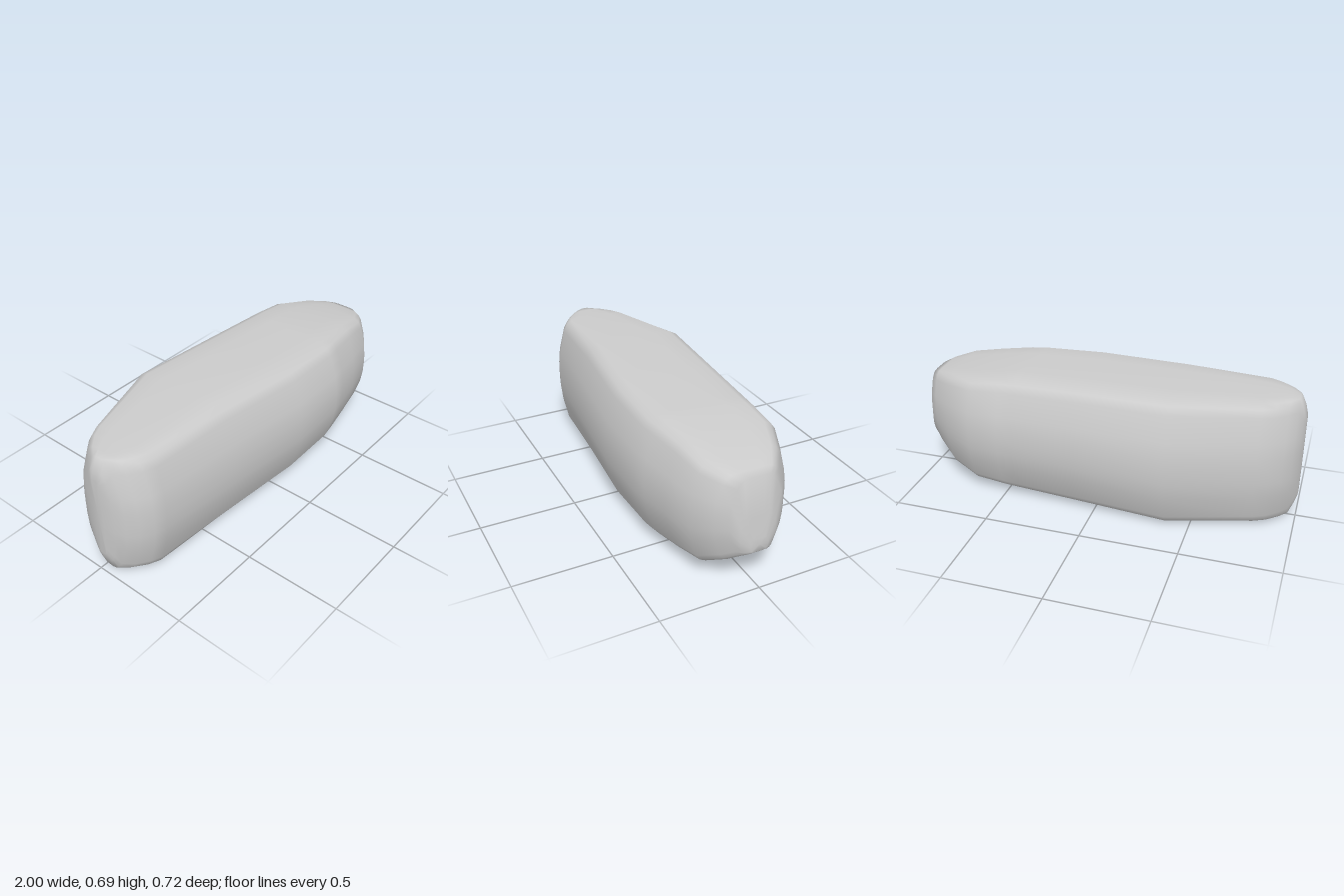
import * as THREE from 'three';

// Cross-sections along the length: x, yMin, yMax, zMin, zMax, corner fullness
const STATIONS = [
  [-1.0, 0.12, 0.56, 0.0, 0.06, 1],
  [-0.985, 0.07, 0.61, -0.05, 0.115, 0.6],
  [-0.96, 0.005, 0.665, -0.1, 0.16, 0.35],
  [-0.92, 0.004, 0.667, -0.145, 0.205, 0.7],
  [-0.86, 0.003, 0.669, -0.19, 0.242, 0.9],
  [-0.8, 0.002, 0.672, -0.212, 0.26, 1],
  [-0.38, 0, 0.687, -0.362, 0.304, 1],
  [0.1, 0.016, 0.675, -0.34, 0.355, 1],
  [0.42, 0.028, 0.663, -0.324, 0.35, 1],
  [0.5, 0.032, 0.659, -0.319, 0.335, 1],
  [0.66, 0.05, 0.641, -0.31, 0.303, 1],
  [0.82, 0.085, 0.614, -0.225, 0.268, 1],
  [0.92, 0.145, 0.587, -0.15, 0.2, 0.9],
  [0.96, 0.175, 0.572, -0.115, 0.15, 0.75],
  [0.985, 0.195, 0.39, -0.075, 0.105, 0.9],
  [1.0, 0.21, 0.28, -0.03, 0.06, 1],
];

// Quarter profile of a section: [height, width], both as fractions of half size
const QUARTER = [[0, 1], [0.2, 0.995], [0.45, 0.955], [0.82, 0.835], [0.93, 0.755], [0.985, 0.64], [1, 0.35], [1, 0]];

// Mirror the quarter into a closed ring running front, top, back, bottom
function makeRing() {
  const n = QUARTER.length - 1;
  const ring = [];
  for (let q = 0; q < 4; q++) {
    for (let i = 0; i < n; i++) {
      const [v, w] = QUARTER[q % 2 ? n - i : i];
      ring.push([q < 2 ? v : -v, q === 0 || q === 3 ? w : -w]);
    }
  }
  return ring;
}

function loftBody() {
  const ring = makeRing();
  const count = ring.length;
  const positions = [];
  const indices = [];

  for (const [x, y0, y1, z0, z1, full] of STATIONS) {
    for (const [v, w] of ring) {
      const width = w * (1 - (1 - full) * v ** 4);
      positions.push(x, (y0 + y1) / 2 + v * (y1 - y0) / 2, (z0 + z1) / 2 + width * (z1 - z0) / 2);
    }
  }
  // Skin between neighbouring sections
  for (let s = 0; s < STATIONS.length - 1; s++) {
    for (let j = 0; j < count; j++) {
      const k = (j + 1) % count;
      const a = s * count + j, b = s * count + k;
      indices.push(a, a + count, b, b, a + count, b + count);
    }
  }
  // Small end caps
  for (const s of [0, STATIONS.length - 1]) {
    const [x, y0, y1, z0, z1] = STATIONS[s];
    const centre = positions.length / 3;
    positions.push(x, (y0 + y1) / 2, (z0 + z1) / 2);
    for (let j = 0; j < count; j++) {
      const a = s * count + j, b = s * count + (j + 1) % count;
      if (s === 0) indices.push(centre, a, b);
      else indices.push(centre, b, a);
    }
  }

  const geometry = new THREE.BufferGeometry();
  geometry.setAttribute('position', new THREE.Float32BufferAttribute(positions, 3));
  geometry.setIndex(indices);
  geometry.computeVertexNormals();
  return geometry;
}

export function createModel() {
  const model = new THREE.Group();
  model.name = 'roundedBlock';
  const body = new THREE.Mesh(loftBody(), new THREE.MeshStandardMaterial({ color: 0xcccccc }));
  body.name = 'body';
  model.add(body);
  return model;
}
